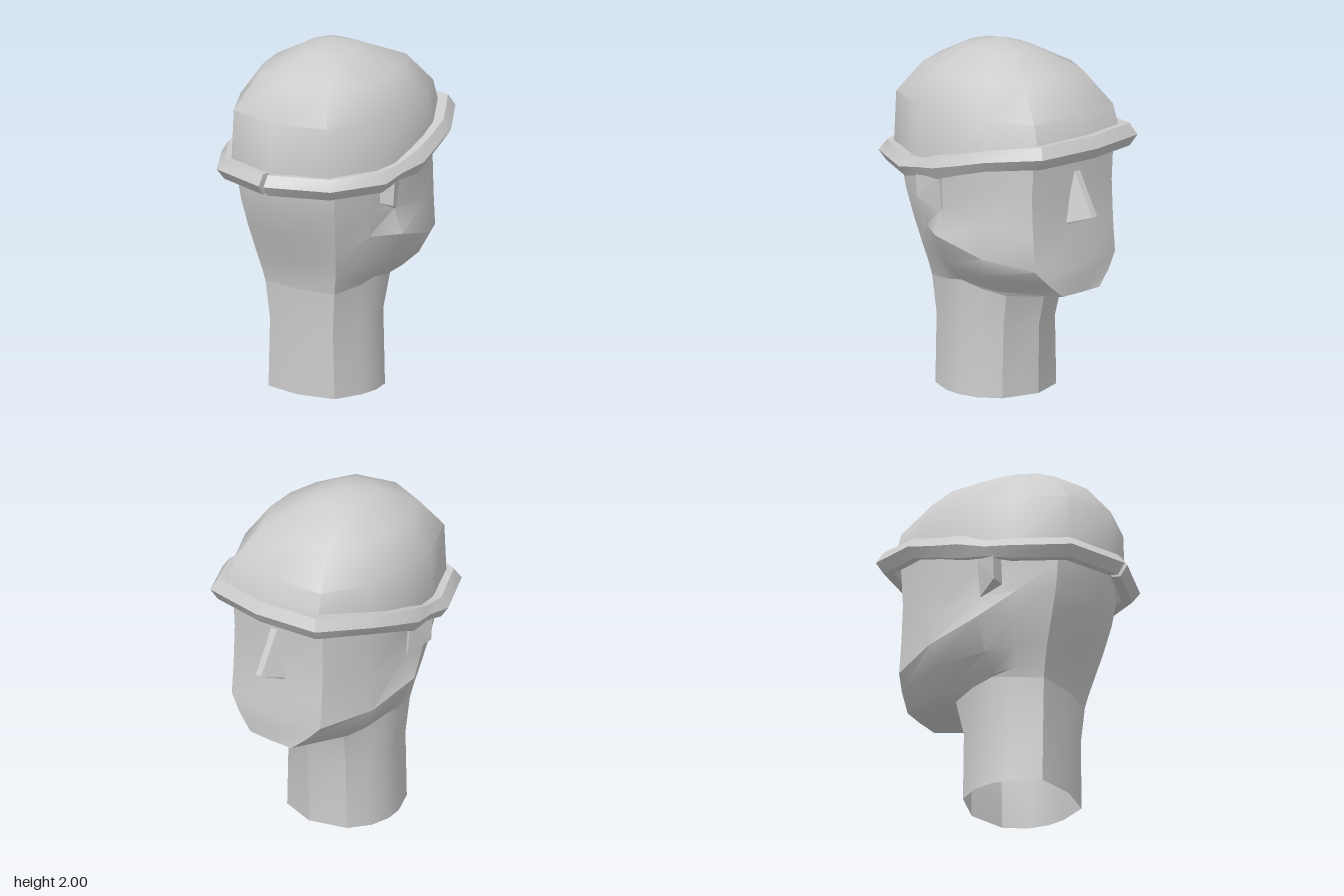
import * as THREE from 'three';
import { toCreasedNormals } from 'three/addons/utils/BufferGeometryUtils.js';
import { ConvexGeometry } from 'three/addons/geometries/ConvexGeometry.js';

const grey = new THREE.MeshStandardMaterial({ color: 0xcccccc, side: THREE.DoubleSide });
grey.name = 'plain grey';

// Skin rings of equal length; closed joins each ring's end to its start.
function loft(rings, crease, closed = true) {
  const n = rings[0].length, pos = [];
  const tri = (...pts) => pts.forEach((p) => pos.push(...p));
  for (let r = 0; r < rings.length - 1; r++) {
    for (let i = 0; i < (closed ? n : n - 1); i++) {
      const j = (i + 1) % n;
      const a = rings[r][i], b = rings[r][j], c = rings[r + 1][j], d = rings[r + 1][i];
      tri(a, b, c);
      tri(a, c, d);
    }
  }
  const g = new THREE.BufferGeometry();
  g.setAttribute('position', new THREE.Float32BufferAttribute(pos, 3));
  return toCreasedNormals(g, crease);
}

// Half ring (centre +z round +x to centre -z) completed by mirroring.
const mirrorRing = (half) => [
  ...half,
  ...half.slice(1, -1).reverse().map(([x, y, z]) => [-x, y, z]),
];

function add(group, name, geometry) {
  const m = new THREE.Mesh(geometry, grey);
  m.name = name;
  group.add(m);
  return m;
}

export function createModel() {
  const model = new THREE.Group();
  model.name = 'cappedHead';

  // Neck, open at the bottom
  const neckTop = [[0, 0.62, 0.35], [0.23, 0.62, 0.325], [0.29, 0.64, 0.15], [0.305, 0.66, 0.03], [0.29, 0.63, -0.1], [0.23, 0.6, -0.24], [0, 0.6, -0.32]];
  const neck = [
    [[0, 0, 0.35], [0.22, 0, 0.31], [0.3, 0, 0.15], [0.32, 0, 0.04], [0.3, 0, -0.08], [0.22, 0, -0.2], [0, 0, -0.27]],
    [[0, 0.4, 0.34], [0.21, 0.4, 0.31], [0.275, 0.4, 0.15], [0.297, 0.4, 0.04], [0.28, 0.4, -0.08], [0.21, 0.4, -0.2], [0, 0.4, -0.275]],
    neckTop,
  ];
  add(model, 'neck', loft(neck.map(mirrorRing), 0.6));

  // Skull, cheeks and jaw
  const head = [
    [[0, 0.7, 0.365], [0.245, 0.7, 0.34], [0.3, 0.69, 0.18], [0.315, 0.67, 0.05], [0.29, 0.64, -0.27], [0.15, 0.645, -0.595], [0, 0.645, -0.6]],
    [[0, 0.8, 0.405], [0.265, 0.8, 0.365], [0.34, 0.79, 0.2], [0.41, 0.77, 0.05], [0.42, 0.75, -0.24], [0.25, 0.73, -0.575], [0, 0.73, -0.61]],
    [[0, 0.96, 0.475], [0.29, 0.96, 0.41], [0.39, 0.96, 0.22], [0.5, 0.95, 0.05], [0.47, 0.865, -0.27], [0.325, 0.81, -0.55], [0, 0.81, -0.615]],
    [[0, 1.12, 0.54], [0.31, 1.12, 0.45], [0.41, 1.1, 0.25], [0.445, 1.09, 0.05], [0.445, 1.05, -0.27], [0.325, 1, -0.535], [0, 0.98, -0.575]],
    [[0, 1.26, 0.565], [0.325, 1.26, 0.47], [0.42, 1.26, 0.25], [0.46, 1.26, 0.05], [0.445, 1.24, -0.27], [0.325, 1.22, -0.525], [0, 1.22, -0.565]],
    [[0, 1.4, 0.57], [0.33, 1.4, 0.48], [0.43, 1.4, 0.26], [0.47, 1.42, 0.05], [0.45, 1.46, -0.27], [0.325, 1.48, -0.54], [0, 1.48, -0.57]],
  ];
  add(model, 'head', loft([neckTop, ...head].map(mirrorRing), 0.6));

  // Cap dome: one outline shrunk row by row towards the crown
  const outline = [[0, 0.63], [0.32, 0.53], [0.46, 0.25], [0.505, 0], [0.475, -0.3], [0.33, -0.585], [0, -0.625]];
  const rows = [[null, 1.01, 1, 1], [1.66, 0.97, 0.99, 0.92], [1.84, 0.725, 0.745, 0.66], [1.955, 0.31, 0.35, 0.28], [2, 0, 0, 0]];
  const dome = rows.map(([y, sx, sBack, sFront]) => mirrorRing(outline.map(([x, z]) => [
    x * sx,
    y ?? (z > 0.2 ? 1.34 : 1.4 - z * 0.16),
    z * (z > 0 ? sBack : sFront) + (y > 1.9 ? 0.02 : 0),
  ])));
  add(model, 'capDome', loft(dome, 0.9));

  // Rolled brim: six-sided section swept round the cap, split at the +z end
  // x, y, z of centreline, half width, half height
  const path = [
    [0.014, 1.32, 0.655, 0.065, 0.06], [0.335, 1.32, 0.54, 0.07, 0.06], [0.49, 1.315, 0.26, 0.062, 0.06],
    [0.515, 1.34, 0.12, 0.04, 0.048], [0.54, 1.37, -0.02, 0.06, 0.07], [0.52, 1.41, -0.18, 0.055, 0.06], [0.495, 1.455, -0.34, 0.062, 0.06],
    [0.345, 1.49, -0.61, 0.068, 0.065], [0, 1.495, -0.66, 0.063, 0.065],
  ];
  const full = [...path, ...path.slice(0, -1).reverse().map(([x, ...rest]) => [-x, ...rest])];
  const section = [[1, 0], [0.35, 1], [-0.5, 0.9], [-1, 0], [-0.5, -0.9], [0.35, -1]];
  const brim = full.map(([x, y, z, w, h]) => {
    const len = Math.hypot(x / 0.75, z);
    const nx = x / 0.75 / len, nz = z / len;
    return section.map(([u, v]) => [x + nx * u * w, y + v * h, z + nz * u * w]);
  });
  // close the two split ends to a point
  const endPoint = (s) => section.map(() => [s * 0.005, 1.32, 0.62]);
  add(model, 'capBrim', loft([endPoint(1), ...brim, endPoint(-1)], 0.75));

  // Nose wedge
  const v = (x, y, z) => new THREE.Vector3(x, y, z);
  const nosePoints = [-1, 1].flatMap((s) => [
    v(s * 0.02, 1.37, -0.55), v(s * 0.09, 1.05, -0.55), v(s * 0.02, 1.095, -0.7), v(s * 0.07, 1.05, -0.58),
  ]);
  add(model, 'nose', new ConvexGeometry(nosePoints));

  // Ears
  for (const s of [-1, 1]) {
    const points = [
      v(s * 0.41, 1.3, 0.17), v(s * 0.41, 1.15, 0.17), v(s * 0.42, 1.1, 0.04), v(s * 0.42, 1.3, 0.04),
      v(s * 0.53, 1.3, 0.17), v(s * 0.52, 1.15, 0.17), v(s * 0.455, 1.09, 0.045), v(s * 0.48, 1.3, 0.04),
    ];
    add(model, s > 0 ? 'leftEar' : 'rightEar', new ConvexGeometry(points));
  }
  return model;
}
